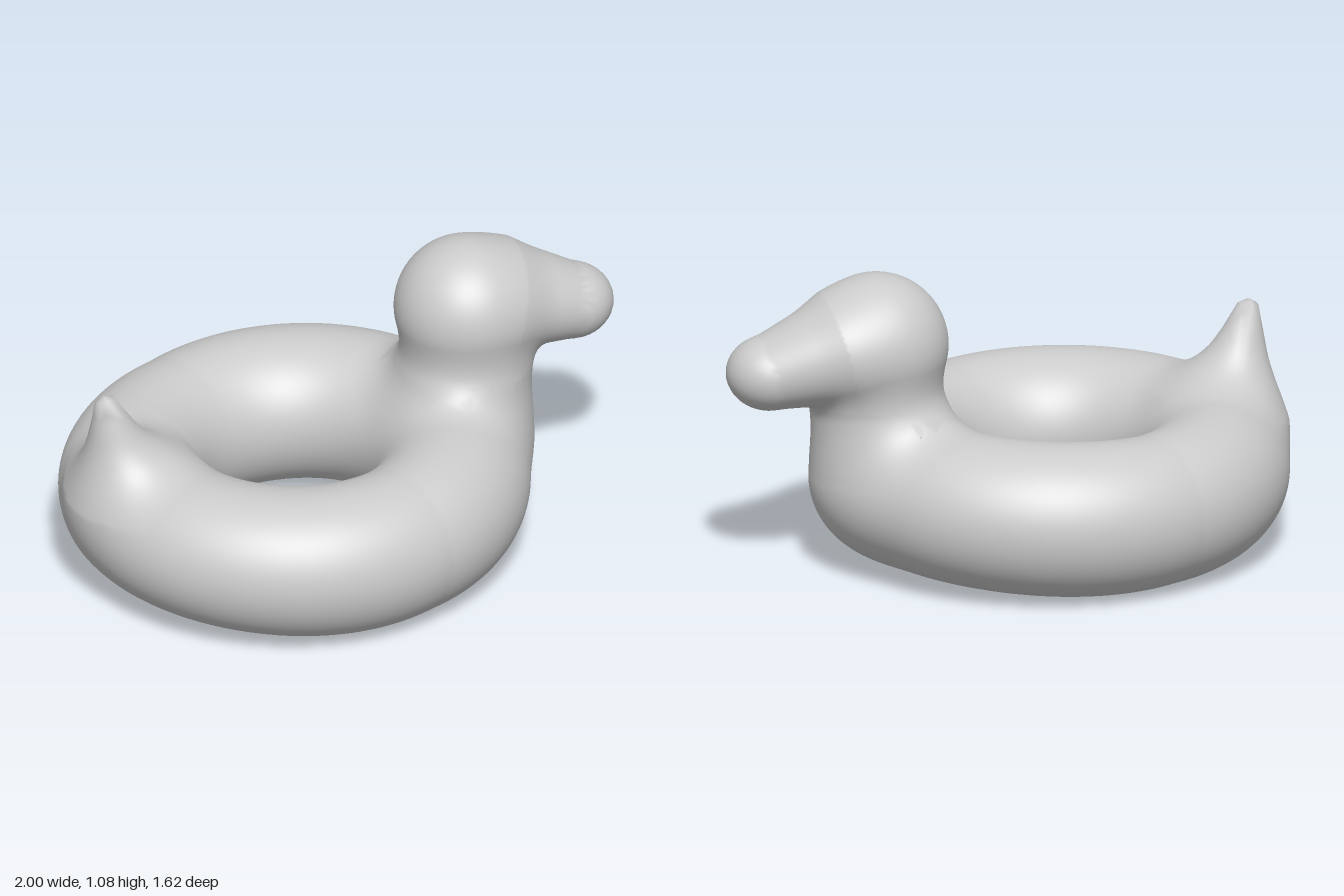
import * as THREE from 'three';

const { hypot, max, min } = Math;
const V = (x, y, z) => new THREE.Vector3(x, y, z);
const RING = { x: -0.17, y: 0.27, major: 0.55, tube: 0.26 };

// Rounded union of two distances
const blend = (a, b, k) => min(a, b) - max(k - Math.abs(a - b), 0) ** 2 / (4 * k);

// Distance to a rounded cone between two points, optionally flattened in y
function taper(p, a, b, ra, rb, flat = 1) {
  const d = b.clone().sub(a), q = p.clone().sub(a);
  const t = THREE.MathUtils.clamp(q.dot(d) / d.lengthSq(), 0, 1);
  q.addScaledVector(d, -t);
  return hypot(q.x, q.y * flat, q.z) - (ra + (rb - ra) * t);
}

// Swim ring, wider at both ends, with the underside arching up there
function ring(p) {
  const x = p.x - RING.x, q = hypot(x, p.z) || 1e-6, c = x / q;
  const swell = c > 0 ? 0.022 * c : -0.01 * c;
  const lift = 0.016 * c * c + swell * 0.4;
  const y = (p.y - RING.y - lift) * (0.97 + 0.08 * c * c);
  return hypot(q - RING.major - swell, y) - RING.tube - swell;
}

const tailA = V(-0.79, 0.44, -0.21), tailB = V(-0.868, 0.775, -0.222);
const neckA = V(0.485, 0.36, 0.2), neckB = V(0.475, 0.62, 0.222);
const headC = V(0.475, 0.83, 0.22);
const beakA = V(0.62, 0.83, 0.255), beakB = V(0.842, 0.765, 0.368);

function bodyField(p) {
  const tail = taper(p, tailA, tailB, 0.18, 0.046);
  const neck = taper(p, neckA, neckB, 0.218, 0.236);
  return blend(blend(ring(p), tail, 0.17), neck, 0.17);
}

function fullField(p) {
  const beak = taper(p, beakA, beakB, 0.225, 0.155, 1.16);
  const head = blend(p.distanceTo(headC) - 0.256, beak, 0.08);
  return blend(bodyField(p), head, 0.06);
}

// Walk from an inner point along a direction until the surface is reached
function cast(from, dir, field, limit) {
  const p = V();
  let t = 0;
  for (let i = 0; i < 80 && t < limit; i++) {
    const d = field(p.copy(from).addScaledVector(dir, t));
    if (Math.abs(d) < 0.0004) break;
    t -= d * 0.8;
  }
  return p.copy(from).addScaledVector(dir, min(t, limit));
}

// Smooth normal from the slope of the blended shape
function slope(p) {
  const e = 0.003, n = V();
  for (const k of ['x', 'y', 'z']) {
    const a = p.clone(), b = p.clone();
    a[k] += e;
    b[k] -= e;
    n[k] = fullField(a) - fullField(b);
  }
  return n.normalize();
}

// Push every vertex of a geometry out to the blended surface
function inflate(geometry, radius, field, limitFor) {
  const pos = geometry.attributes.position, nor = geometry.attributes.normal;
  for (let i = 0; i < pos.count; i++) {
    const dir = V().fromBufferAttribute(nor, i);
    const from = V().fromBufferAttribute(pos, i).addScaledVector(dir, -radius);
    const p = cast(from, dir, field, limitFor(dir)), n = slope(p);
    pos.setXYZ(i, p.x, p.y, p.z);
    nor.setXYZ(i, n.x, n.y, n.z);
  }
  return geometry;
}

export function createModel() {
  const group = new THREE.Group();
  const material = new THREE.MeshStandardMaterial({ color: 0xcccccc });
  const add = (name, geometry) => {
    const mesh = new THREE.Mesh(geometry, material);
    mesh.name = name;
    group.add(mesh);
  };

  // Ring with the raised tail and the flared stump of the neck
  const torus = new THREE.TorusGeometry(RING.major, RING.tube, 112, 270)
    .rotateX(-Math.PI / 2).translate(RING.x, RING.y, 0);
  add('ringBodyWithTail', inflate(torus, RING.tube, bodyField, () => 1));

  // Head and beak; downward rays stop inside the neck
  const reach = (dir) => THREE.MathUtils.mapLinear(
    THREE.MathUtils.clamp(dir.y, -0.65, -0.4), -0.65, -0.4, 0.34, 0.7);
  const ball = new THREE.SphereGeometry(0.1, 128, 88).translate(0.5, 0.8, 0.24);
  add('headWithBeak', inflate(ball, 0.1, fullField, reach));

  return group;
}
